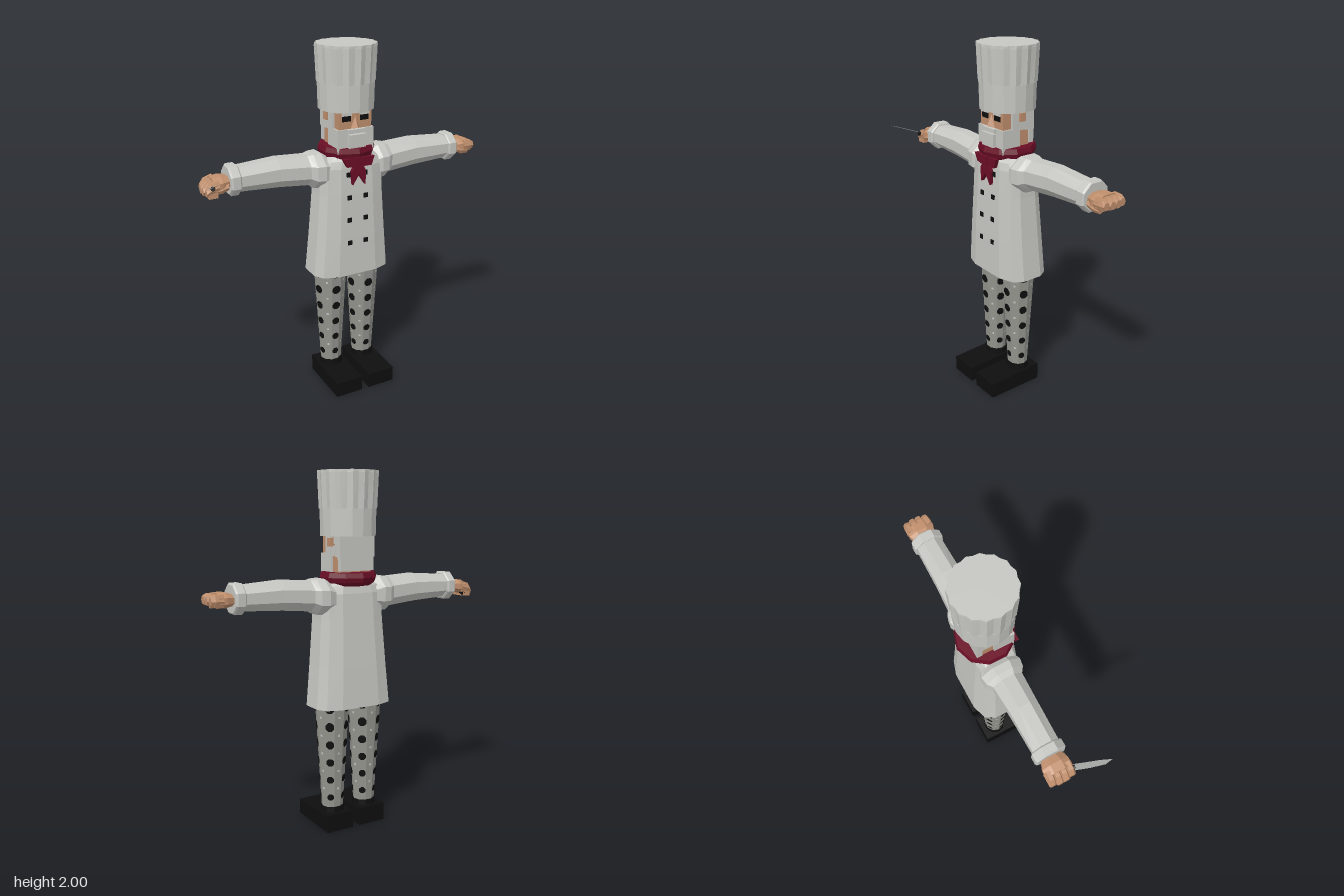
import * as THREE from 'three';
import { ConvexGeometry } from 'three/addons/geometries/ConvexGeometry.js';

const CX = 0.012, CZ = -0.043; // body axis

function mat(name, color, extra = {}) {
  const m = new THREE.MeshStandardMaterial({ color, ...extra });
  m.name = name;
  return m;
}

// Flat-faceted skin over a list of rings, closed with fans at both ends
function loft(rings) {
  const pos = [];
  const tri = (...v) => v.forEach(p => pos.push(p.x, p.y, p.z));
  const n = rings[0].length;
  const mid = r => r.reduce((s, p) => s.add(p), new THREE.Vector3()).divideScalar(n);
  const first = mid(rings[0]), end = rings[rings.length - 1], last = mid(end);
  for (let j = 0; j < n; j++) {
    const k = (j + 1) % n;
    for (let i = 0; i < rings.length - 1; i++) {
      const a = rings[i], b = rings[i + 1];
      tri(a[j], a[k], b[k]);
      tri(a[j], b[k], b[j]);
    }
    tri(first, rings[0][k], rings[0][j]);
    tri(last, end[j], end[k]);
  }
  const g = new THREE.BufferGeometry();
  g.setAttribute('position', new THREE.Float32BufferAttribute(pos, 3));
  g.computeVertexNormals();
  return g;
}

// Horizontal ring around the body axis; radius may depend on the corner index
function ringY(y, n, radius, offset = 0) {
  return Array.from({ length: n }, (_, j) => {
    const a = (j + offset) / n * Math.PI * 2;
    const r = typeof radius === 'function' ? radius(j) : radius;
    return new THREE.Vector3(Math.sin(a) * r, y, Math.cos(a) * r);
  });
}

// Ring across an arm, side = +1 or -1
function ringX(side, n, [off, ry, rz, cy]) {
  return Array.from({ length: n }, (_, j) => {
    const a = (j + 0.5) / n * Math.PI * 2;
    return new THREE.Vector3(CX + side * off, cy + Math.cos(a) * ry, CZ + side * Math.sin(a) * rz);
  });
}

export function createModel() {
  const root = new THREE.Group();
  root.name = 'cook';
  const white = mat('white cloth', 0xc6c7c2);
  const grey = mat('trouser grey', 0x94948e);
  const black = mat('black', 0x0e0e0e);
  const skin = mat('skin', 0xc08f6d);
  const red = mat('scarf red', 0x6a0e26);
  const steel = mat('steel', 0x8b8d8a, { side: THREE.DoubleSide });

  const add = (name, geo, m, parent = root) => {
    const mesh = new THREE.Mesh(geo, m);
    mesh.name = name;
    parent.add(mesh);
    return mesh;
  };
  // Box from its limits, x measured from the body axis
  const box = (name, m, x0, x1, y0, y1, z0, z1) => {
    const g = new THREE.BoxGeometry(x1 - x0, y1 - y0, z1 - z0);
    g.translate(CX + (x0 + x1) / 2, (y0 + y1) / 2, (z0 + z1) / 2);
    return add(name, g, m);
  };

  // Coat: bevelled cross-section, flaring to the hem
  const quarter = [[0.5, 1], [0.86, 0.8], [1, 0.42]];
  const section = [...quarter, ...quarter.map(([x, z]) => [x, -z]).reverse(),
    ...quarter.map(([x, z]) => [-x, -z]), ...quarter.map(([x, z]) => [-x, z]).reverse()];
  const coatRings = [[0.72, 0.235, 0.1, -0.185], [0.95, 0.214, 0.098, -0.172], [1.2, 0.195, 0.09, -0.155],
    [1.35, 0.19, 0.082, -0.145], [1.39, 0.165, 0.075, -0.135], [1.43, 0.11, 0.06, -0.12]];
  add('coat', loft(coatRings.map(([y, w, f, b]) => section.map(([x, z]) =>
    new THREE.Vector3(CX + x * w, y, (f + b) / 2 + z * (f - b) / 2)))), white);

  // Coat buttons
  for (const y of [0.92, 1.055, 1.185, 1.315]) {
    const z = y < 1 ? 0.098 : y < 1.1 ? 0.095 : y < 1.2 ? 0.091 : 0.085;
    for (const s of [-1, 1]) box('button', black, s * 0.05 - 0.013, s * 0.05 + 0.013, y - 0.013, y + 0.013, z - 0.004, z + 0.004);
  }

  // Sleeves, cuffs and hands
  const sleeve = [[0.13, 0.08, 0.105, 1.33], [0.175, 0.105, 0.122, 1.335], [0.22, 0.102, 0.114, 1.335],
    [0.25, 0.088, 0.09, 1.342], [0.42, 0.085, 0.082, 1.355], [0.65, 0.07, 0.078, 1.353]];
  const cuff = [[0.638, 0.076, 0.084, 1.352], [0.646, 0.086, 0.091, 1.352], [0.686, 0.086, 0.091, 1.352], [0.695, 0.076, 0.084, 1.352]];
  for (const s of [-1, 1]) {
    const drop = s < 0 ? 1 : 0;
    add('sleeve', loft(sleeve.map(r => ringX(s, 8, r))), white);
    add('cuff', loft(cuff.map(r => ringX(s, 8, r))), white);
    const palm = [[0.68, 0.03, 0.055, 1.348], [0.735, 0.043, 0.078, 1.35 - drop * 0.004], [0.78, 0.042, 0.08, 1.35 - drop * 0.01]];
    add('palm', loft(palm.map(r => ringX(s, 8, r))), skin);
    // Four fingers side by side, curled down in the gripping hand
    for (let i = 0; i < 4; i++) {
      const cy = 1.35, long = 0.83 - (i === 0 || i === 3 ? 0.008 : 0);
      const finger = [[0.755, 0.038, 0.024, cy - drop * 0.006], [0.8, 0.036, 0.023, cy - drop * 0.018], [long, 0.022, 0.019, cy - drop * 0.035]];
      const z = (i - 1.5) * 0.036;
      add('finger', loft(finger.map(r => ringX(s, 6, r))), skin).position.z = z;
      if (drop) box('curledFinger', skin, -0.815, -0.765, 1.287, 1.33, CZ + z - 0.016, CZ + z + 0.016);
    }
    const thumb = [[0.705, 0.018, 0.018, 1.335], [0.74, 0.023, 0.02, 1.325], [0.785, 0.016, 0.014, 1.318]];
    add('thumb', loft(thumb.map(r => ringX(s, 6, r))), skin).position.z = 0.055;
  }

  // Knife: handle through the fist, thin tilted blade
  const h0 = new THREE.Vector3(-0.755, 1.3, -0.11), h1 = new THREE.Vector3(-0.782, 1.345, 0.04);
  const handle = add('knifeHandle', new THREE.CylinderGeometry(0.013, 0.013, h0.distanceTo(h1), 6), black);
  handle.position.lerpVectors(h0, h1, 0.5);
  handle.quaternion.setFromUnitVectors(new THREE.Vector3(0, 1, 0), h1.clone().sub(h0).normalize());
  const blade = new THREE.ShapeGeometry(new THREE.Shape([[-0.766, 0.035], [-0.797, 0.028], [-0.825, 0.095],
    [-0.848, 0.165], [-0.843, 0.205], [-0.815, 0.15], [-0.79, 0.09]].map(p => new THREE.Vector2(...p))));
  const bp = blade.attributes.position;
  for (let i = 0; i < bp.count; i++) {
    const z = bp.getY(i);
    bp.setXYZ(i, bp.getX(i), 1.35 + 0.34 * (z - 0.03), z);
  }
  blade.computeVertexNormals();
  add('knifeBlade', blade, steel);

  // Legs: ten-sided trousers with large and small spots on alternate faces, and shoes
  for (const s of [-1, 1]) {
    const leg = new THREE.Group();
    leg.name = 'leg';
    leg.position.set(CX + s * 0.106, 0, CZ);
    leg.scale.z = 0.92;
    root.add(leg);
    const radius = y => 0.062 + (y - 0.11) * 0.058;
    add('trouserLeg', loft([0.11, 0.76].map(y => ringY(y, 10, radius(y), 0.5))), grey, leg);
    for (let f = 0; f < 10; f++) {
      const big = f % 2 === 0, a = f / 10 * Math.PI * 2;
      for (let i = 0; i < 6; i++) {
        const y = 0.19 + i * 0.105 + (big ? 0 : 0.052);
        if (y > 0.72) continue;
        const size = big ? 0.0205 + (y - 0.19) * 0.016 : 0.009;
        const spot = add(big ? 'blackSpot' : 'whiteSpot', new THREE.CircleGeometry(size, big ? 8 : 4, Math.PI / (big ? 8 : 4)), big ? black : white, leg);
        const r = radius(y) * Math.cos(Math.PI / 10) + 0.003;
        spot.rotation.set(0.058, a, 0, 'YXZ');
        spot.position.set(Math.sin(a) * r, y, Math.cos(a) * r);
      }
    }
    // Shoe with a slightly lower toe, and its ankle collar
    const shoe = box('shoe', black, s * 0.106 - 0.083, s * 0.106 + 0.083, 0, 0.1, -0.135, 0.203);
    const p = shoe.geometry.attributes.position;
    for (let i = 0; i < p.count; i++) if (p.getY(i) > 0.05 && p.getZ(i) > 0) p.setY(i, 0.088);
    shoe.geometry.computeVertexNormals();
    add('shoeCollar', loft([ringY(0.08, 10, 0.072, 0.5), ringY(0.13, 10, 0.068, 0.5)]), black, leg);
  }

  // Head, hair and beard
  box('head', skin, -0.098, 0.098, 1.43, 1.68, -0.11, 0.062);
  box('hairTop', white, -0.108, 0.108, 1.615, 1.67, -0.14, -0.07);
  box('hairMiddle', white, -0.108, 0.108, 1.545, 1.615, -0.14, -0.085);
  box('hairNape', white, -0.104, 0.104, 1.47, 1.545, -0.14, -0.108);
  box('beard', white, -0.108, 0.108, 1.43, 1.562, -0.045, 0.07);
  box('chinBeard', white, -0.05, 0.05, 1.46, 1.535, 0.06, 0.092);
  box('moustache', white, -0.052, 0.052, 1.54, 1.562, 0.06, 0.085);
  for (const s of [-1, 1]) {
    const x = s * 0.104;
    box('sideburn', white, x - 0.009, x + 0.009, 1.55, 1.665, -0.04, 0.01);
    box('hairBehindEar', white, x - 0.006, x + 0.006, 1.55, 1.605, -0.09, -0.03);
    box('ear', skin, s * 0.11 - 0.015, s * 0.11 + 0.015, 1.6, 1.645, -0.07, -0.032);
    box('eye', black, s * 0.053 - 0.025, s * 0.053 + 0.025, 1.604, 1.632, 0.059, 0.067);
    box('eyebrow', white, s * 0.053 - 0.028, s * 0.053 + 0.028, 1.635, 1.655, 0.06, 0.073);
  }
  add('nose', new ConvexGeometry([[-0.028, 1.562, 0.06], [0.028, 1.562, 0.06], [0, 1.635, 0.06], [0, 1.572, 0.094]]
    .map(([x, y, z]) => new THREE.Vector3(CX + x, y, z))), skin);

  // Tall hat: plain band and pleated crown
  const band = add('hatBand', loft([ringY(1.655, 16, 0.153), ringY(1.8, 16, 0.156)]), white);
  const pleat = (out, inn) => j => (j % 2 ? inn : out);
  const crown = add('hatCrown', loft([ringY(1.8, 32, pleat(0.16, 0.15)), ringY(1.985, 32, pleat(0.168, 0.159)),
    ringY(2, 32, pleat(0.167, 0.159))]), white);

  // Neck scarf with a knotted front
  const scarf = add('scarf', loft([ringY(1.39, 10, 0.125), ringY(1.41, 10, 0.152), ringY(1.435, 10, 0.16), ringY(1.462, 10, 0.152)]), red);
  for (const m of [band, crown, scarf]) m.position.set(CX, 0, CZ);
  const tails = new THREE.ExtrudeGeometry(new THREE.Shape([[-0.095, 1.41], [-0.07, 1.365], [-0.028, 1.36], [-0.044, 1.335],
    [-0.036, 1.26], [0, 1.315], [0.04, 1.255], [0.044, 1.33], [0.03, 1.36], [0.078, 1.36], [0.095, 1.41]]
    .map(p => new THREE.Vector2(...p))), { depth: 0.022, bevelEnabled: false });
  tails.translate(CX, 0, 0.086);
  add('scarfTails', tails, red);
  box('scarfKnot', red, -0.028, 0.028, 1.365, 1.415, 0.08, 0.12);

  return root;
}
